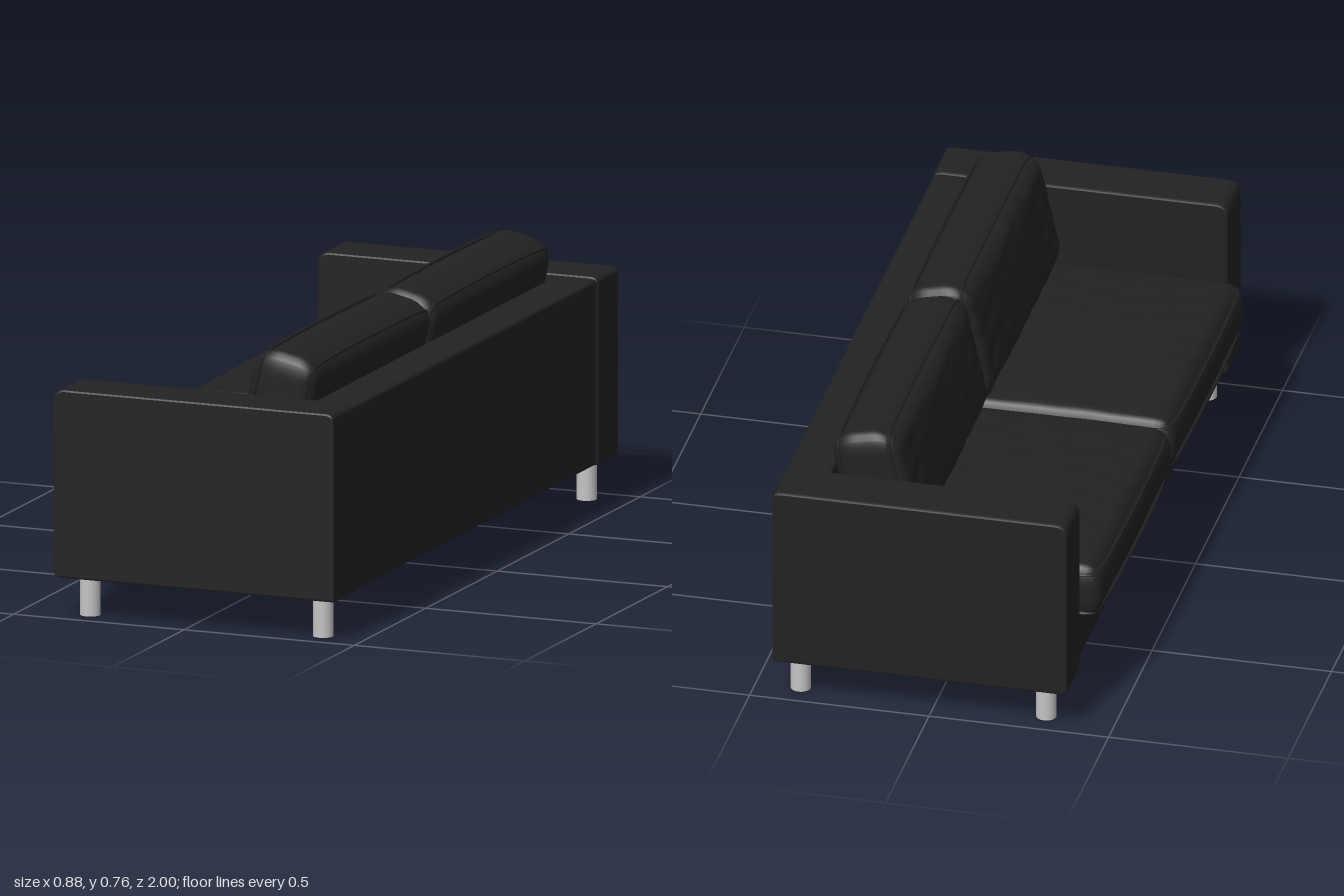
import * as THREE from 'three';
import { mergeVertices } from 'three/addons/utils/BufferGeometryUtils.js';
import { RoundedBoxGeometry } from 'three/addons/geometries/RoundedBoxGeometry.js';

const leather = new THREE.MeshStandardMaterial({ color: 0x222222 });
leather.name = 'black leather';
const steel = new THREE.MeshStandardMaterial({ color: 0xc4c4c4 });
steel.name = 'brushed steel';

function add(parent, name, geometry, material, x = 0, y = 0, z = 0) {
  const mesh = new THREE.Mesh(geometry, material);
  mesh.name = name;
  mesh.position.set(x, y, z);
  parent.add(mesh);
}

// Upright slab for an arm: softened corners, small bevel all round
function armGeometry() {
  const b = 0.006, x0 = -0.385 + b, x1 = 0.438 - b, y0 = 0.112 + b, y1 = 0.635 - b;
  const s = new THREE.Shape();
  s.moveTo(x0 + 0.012, y0);
  s.lineTo(x1, y0);
  s.lineTo(x1, y1 - 0.012);
  s.quadraticCurveTo(x1, y1, x1 - 0.02, y1);
  s.lineTo(x0 + 0.03, y1);
  s.quadraticCurveTo(x0, y1, x0, y1 - 0.03);
  s.lineTo(x0, y0 + 0.015);
  s.quadraticCurveTo(x0, y0, x0 + 0.012, y0);
  const g = new THREE.ExtrudeGeometry(s, {
    depth: 0.15 - 2 * b, bevelEnabled: true, bevelSize: b, bevelThickness: b,
    bevelSegments: 2, curveSegments: 6,
  });
  return g.translate(0, 0, -0.075 + b);
}

// Soft cushion lying flat: rounded box, crowned on its upper face, with creases
function cushionGeometry(size, radius, crown, seed) {
  const g = new THREE.BoxGeometry(size.x, size.y, size.z, 32, 12, 56);
  g.deleteAttribute('normal');
  g.deleteAttribute('uv');
  g.clearGroups();
  const geo = mergeVertices(g, 1e-5);
  const pos = geo.attributes.position;
  const half = size.clone().multiplyScalar(0.5);
  const inner = half.clone().sub(radius);
  const innerMin = inner.clone().negate();
  const unit = (t) => THREE.MathUtils.clamp(t, -1, 1);
  const p = new THREE.Vector3(), q = new THREE.Vector3(), d = new THREE.Vector3();
  for (let i = 0; i < pos.count; i++) {
    p.fromBufferAttribute(pos, i);
    const u = unit(p.x / half.x), v = unit(p.y / half.y), w = unit(p.z / half.z);
    q.copy(p).clamp(innerMin, inner);
    d.copy(p).sub(q).divide(radius).normalize().multiply(radius);
    // Only the skin of the box is moved, so d is never zero
    p.copy(q).add(d);
    const middle = (1 - u * u) * (1 - w * w);
    const rim = middle * Math.max(Math.abs(u), Math.abs(w)) ** 3;
    const crease = Math.sin(w * 23 + seed + 2 * Math.sin(u * 4 + seed))
      + Math.sin(u * 13 - w * 7 + seed * 2);
    if (v > 0) p.y += v * (crown * Math.sqrt(middle) + 0.008 * rim * crease);
    pos.setXYZ(i, p.x, p.y, p.z);
  }
  geo.computeVertexNormals();
  return geo;
}

// Welt running round the cushion at one of its edges
function pipingGeometry(size, radius, side) {
  const hx = size.x / 2 - radius.x * 0.29, hz = size.z / 2 - radius.z * 0.29;
  const y = side * (size.y / 2 - radius.y * 0.29);
  const c = 0.025, points = [];
  for (const [sx, sz] of [[1, 1], [-1, 1], [-1, -1], [1, -1]]) {
    const ends = [[hx, hz - c], [hx - c * 0.3, hz - c * 0.3], [hx - c, hz]];
    if (sx * sz < 0) ends.reverse();
    for (const [x, z] of ends) points.push(new THREE.Vector3(sx * x, y, sz * z));
  }
  const path = new THREE.CatmullRomCurve3(points, true, 'centripetal');
  return new THREE.TubeGeometry(path, 120, 0.005, 6, true);
}

function cushion(name, size, radius, crown, seed) {
  const group = new THREE.Group();
  group.name = name;
  add(group, 'cushionBody', cushionGeometry(size, radius, crown, seed), leather);
  for (const side of [1, -1]) {
    add(group, 'piping', pipingGeometry(size, radius, side), leather);
  }
  return group;
}

export function createModel() {
  const sofa = new THREE.Group();
  sofa.name = 'sofa';

  // Frame between the arms; the seat opens towards -x
  add(sofa, 'seatBase', new RoundedBoxGeometry(0.79, 0.145, 1.71, 2, 0.008), leather, 0.025, 0.1925, 0);
  add(sofa, 'backrest', new RoundedBoxGeometry(0.125, 0.515, 1.71, 3, 0.01), leather, 0.3735, 0.3705, 0);

  const arm = armGeometry();
  const leg = new THREE.CylinderGeometry(0.028, 0.028, 0.125, 20);
  const seatSize = new THREE.Vector3(0.63, 0.155, 0.838);
  const seatRadius = new THREE.Vector3(0.05, 0.065, 0.025);
  const backSize = new THREE.Vector3(0.36, 0.185, 0.835);
  const backRadius = new THREE.Vector3(0.065, 0.07, 0.03);

  for (const side of [1, -1]) {
    add(sofa, 'arm', arm, leather, 0, 0, side * 0.925);
    for (const x of [-0.308, 0.376]) add(sofa, 'leg', leg, steel, x, 0.0625, side * 0.922);

    const seat = cushion('seatCushion', seatSize, seatRadius, 0.022, 1 + side);
    seat.position.set(-0.123, 0.338, side * 0.42);
    sofa.add(seat);

    // Stood on edge and leaning against the backrest
    const back = cushion('backCushion', backSize, backRadius, 0.015, 4 + side);
    back.rotation.z = Math.PI / 2 - 0.22;
    back.position.set(0.195, 0.571, side * 0.419);
    sofa.add(back);
  }
  return sofa;
}
